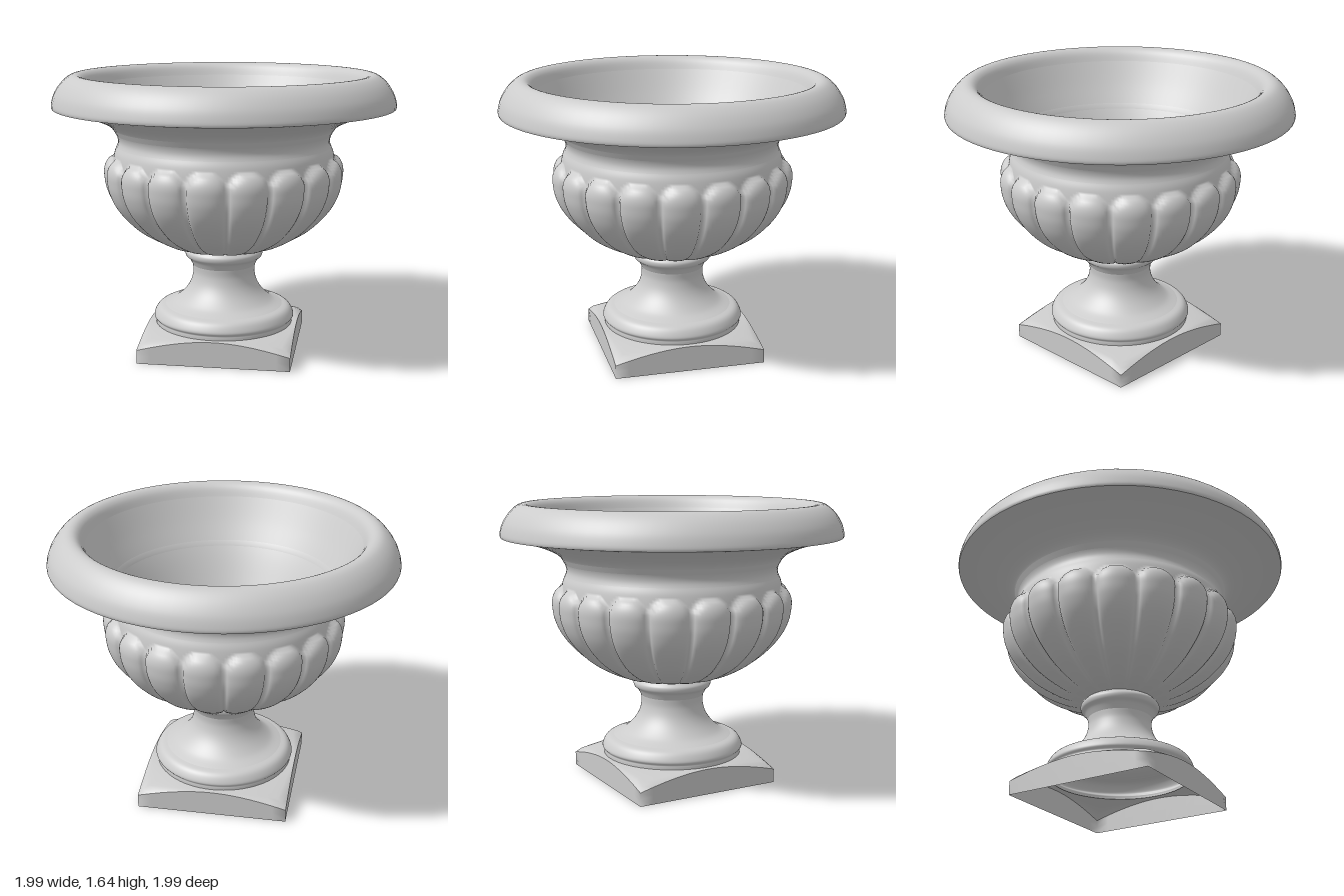
import * as THREE from 'three';
import { mergeVertices } from 'three/addons/utils/BufferGeometryUtils.js';
import { ParametricGeometry } from 'three/addons/geometries/ParametricGeometry.js';

const stone = new THREE.MeshStandardMaterial({ color: 0xcccccc, side: THREE.DoubleSide });

function part(name, geometry) {
  const mesh = new THREE.Mesh(geometry, stone);
  mesh.name = name;
  return mesh;
}

function profile(points) {
  return new THREE.SplineCurve(points.map(([r, y]) => new THREE.Vector2(r, y)));
}

// Turned part: smooth curve through [radius, height] points
function turned(name, points, steps = 30, segments = 72) {
  return part(name, new THREE.LatheGeometry(profile(points).getPoints(steps), segments));
}

// Lower bowl with rounded lobes swelling out of a turned body
function lobedBowl(lobes = 18) {
  const body = profile([
    [0.19, 0.605], [0.31, 0.635], [0.45, 0.715], [0.545, 0.805], [0.605, 0.89], [0.637, 0.97],
    [0.648, 1.04], [0.65, 1.11], [0.64, 1.18], [0.625, 1.22],
  ]);
  const lathe = new THREE.LatheGeometry(body.getPoints(48), lobes * 14);
  lathe.deleteAttribute('uv');
  lathe.deleteAttribute('normal');
  const geometry = mergeVertices(lathe, 1e-5);
  const pos = geometry.attributes.position;
  for (let i = 0; i < pos.count; i++) {
    const x = pos.getX(i), y = pos.getY(i), z = pos.getZ(i);
    const r = Math.hypot(x, z);
    const phase = Math.atan2(x, z) * lobes / (2 * Math.PI);
    const u = 2 * (phase - Math.round(phase));                      // -1..1 across a lobe
    const cap = THREE.MathUtils.clamp((y - 1.05) / 0.11, 0, 1);     // rounded upper end
    const swell = 0.055 * (r / 0.65) * Math.sqrt(Math.max(0, 1 - u * u - cap * cap));
    const k = (r + swell) / r;
    pos.setXYZ(i, x * k, y, z * k);
  }
  geometry.computeVertexNormals();
  return part('lobedBowl', geometry);
}

// Square plinth, open underneath, its worn top drooping towards the corners
function plinth() {
  const half = 0.443, height = 0.15, opening = 0.4;
  const edge = (u) => {
    const a = u * Math.PI * 2;
    const reach = half / Math.max(Math.abs(Math.sin(a)), Math.abs(Math.cos(a)));
    const corner = (reach / half - 1) / (Math.SQRT2 - 1);           // 0 mid-side, 1 corner
    return { a, reach, top: height - 0.07 * corner };
  };
  const walls = new ParametricGeometry((u, v, p) => {
    const { a, reach, top } = edge(u);
    p.set(Math.sin(a) * reach, top * v, Math.cos(a) * reach);
  }, 64, 2);
  const cover = new ParametricGeometry((u, v, p) => {
    const { a, reach, top } = edge(u);
    const r = THREE.MathUtils.lerp(reach, opening, v);
    p.set(Math.sin(a) * r, THREE.MathUtils.lerp(top, height, Math.sqrt(v)), Math.cos(a) * r);
  }, 64, 6);
  for (const g of [walls, cover]) g.computeVertexNormals();
  const group = new THREE.Group();
  group.name = 'plinth';
  group.add(part('plinthWalls', walls), part('plinthTop', cover));
  return group;
}

export function createModel() {
  const urn = new THREE.Group();
  urn.name = 'urn';
  urn.add(
    plinth(),
    // Base moulding
    turned('footRing', [
      [0.41, 0.15], [0.41, 0.165], [0.41, 0.175], [0.42, 0.19], [0.415, 0.21],
      [0.4, 0.235], [0.38, 0.25], [0.35, 0.258],
    ]),
    // Flared stem
    turned('stem', [
      [0.35, 0.258], [0.29, 0.285], [0.235, 0.335], [0.2, 0.39], [0.184, 0.45], [0.186, 0.5],
    ]),
    turned('collar', [
      [0.186, 0.5], [0.205, 0.535], [0.226, 0.555], [0.23, 0.58], [0.215, 0.6], [0.2, 0.615],
    ]),
    lobedBowl(),
    // Neck sweeping out to the rim
    turned('neck', [
      [0.632, 1.2], [0.617, 1.25], [0.632, 1.3], [0.675, 1.35], [0.77, 1.395], [0.88, 1.428], [0.99, 1.448],
    ]),
    // Overhanging lip
    turned('rim', [
      [0.99, 1.448], [0.993, 1.47], [0.975, 1.53], [0.935, 1.59], [0.885, 1.63], [0.84, 1.635],
      [0.805, 1.61], [0.78, 1.56],
    ]),
    // Hollow inside, narrowing evenly to the floor
    turned('innerWall', [
      [0.78, 1.56], [0.71, 1.43], [0.61, 1.26], [0.53, 1.1], [0.46, 0.95],
    ]),
    turned('innerFloor', [[0.46, 0.95], [0.25, 0.925], [0.001, 0.915]], 8),
  );
  return urn;
}
